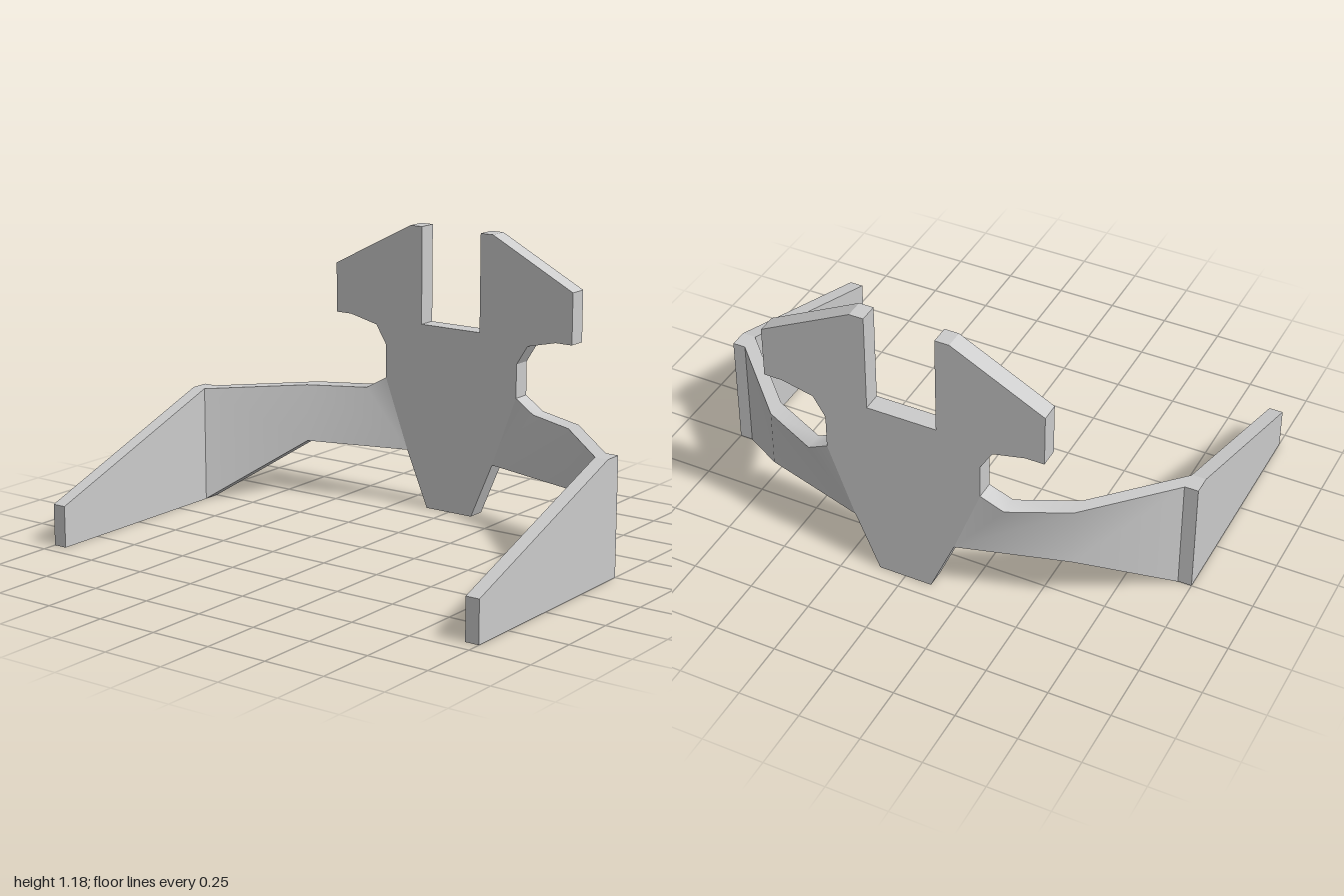
import * as THREE from 'three';
import { toCreasedNormals } from 'three/addons/utils/BufferGeometryUtils.js';

const material = new THREE.MeshStandardMaterial({ color: 0xcccccc });

function addMesh(group, geometry, name) {
  const mesh = new THREE.Mesh(geometry, material);
  mesh.name = name;
  group.add(mesh);
}

function extrude(points, depth) {
  const shape = new THREE.Shape(points.map(([x, y]) => new THREE.Vector2(x, y)));
  return new THREE.ExtrudeGeometry(shape, { depth, bevelEnabled: false });
}

// Upright plate with a notched top, drawn as one half and mirrored
function backPlate() {
  const half = [
    [0.11, 0], [0.21, 0.235], [0.32, 0.53], [0.32, 0.67], [0.37, 0.75], [0.5, 0.78],
    [0.575, 0.78], [0.575, 0.99], [0.2, 1.183], [0.142, 1.183], [0.142, 0.778],
  ];
  const mirrored = half.map(([x, y]) => [-x, y]).reverse();
  return extrude([...half, ...mirrored], 0.077).translate(0, 0, -0.688);
}

// Bent arm: four-cornered sections running from the plate out to the side panel
function arm(side) {
  // Each section: bottom and top points of the inner face, [x, y, z]
  const stations = [
    { bottom: [0.21, 0.235, -0.611], top: [0.32, 0.53, -0.611] },
    { bottom: [0.21, 0.235, -0.611], top: [0.41, 0.478, -0.597] },
    { bottom: [0.64, 0.235, -0.488], top: [0.64, 0.478, -0.488] },
    { bottom: [0.945, 0, -0.175], top: [0.945, 0.478, -0.175] },
  ];
  const back = ([x, y, z]) => [x, y, z - 0.077];
  const rings = stations.map(({ bottom, top }) => [bottom, top, back(top), back(bottom)]);
  const positions = [];
  const same = (p, q) => p.every((v, i) => v === q[i]);
  const triangle = (a, b, c) => {
    if (same(a, b) || same(b, c) || same(c, a)) return;
    for (const [x, y, z] of side > 0 ? [a, b, c] : [a, c, b]) positions.push(side * x, y, z);
  };
  for (let i = 0; i < rings.length - 1; i++) {
    const p = rings[i], q = rings[i + 1];
    for (let j = 0; j < 4; j++) {
      const k = (j + 1) % 4;
      // Keep the same diagonal on the inner and outer faces
      if (j === 2) {
        triangle(p[j], q[j], p[k]);
        triangle(q[j], q[k], p[k]);
      } else {
        triangle(p[j], q[j], q[k]);
        triangle(p[j], q[k], p[k]);
      }
    }
  }
  const geometry = new THREE.BufferGeometry();
  geometry.setAttribute('position', new THREE.Float32BufferAttribute(positions, 3));
  return toCreasedNormals(geometry, 0.6);
}

// Flat side panel, tapering towards the front
function sidePanel(side) {
  const outline = [[-0.688, 0], [0.25, 0], [0.25, 0.478], [0.175, 0.478], [-0.688, 0.168]];
  return extrude(outline, 0.057)
    .rotateY(Math.PI / 2)
    .translate(side > 0 ? 0.943 : -1, 0, 0);
}

export function createModel() {
  const model = new THREE.Group();
  model.name = 'bracket';
  addMesh(model, backPlate(), 'backPlate');
  for (const [side, label] of [[1, 'left'], [-1, 'right']]) {
    addMesh(model, arm(side), label + 'Arm');
    addMesh(model, sidePanel(side), label + 'SidePanel');
  }
  return model;
}
